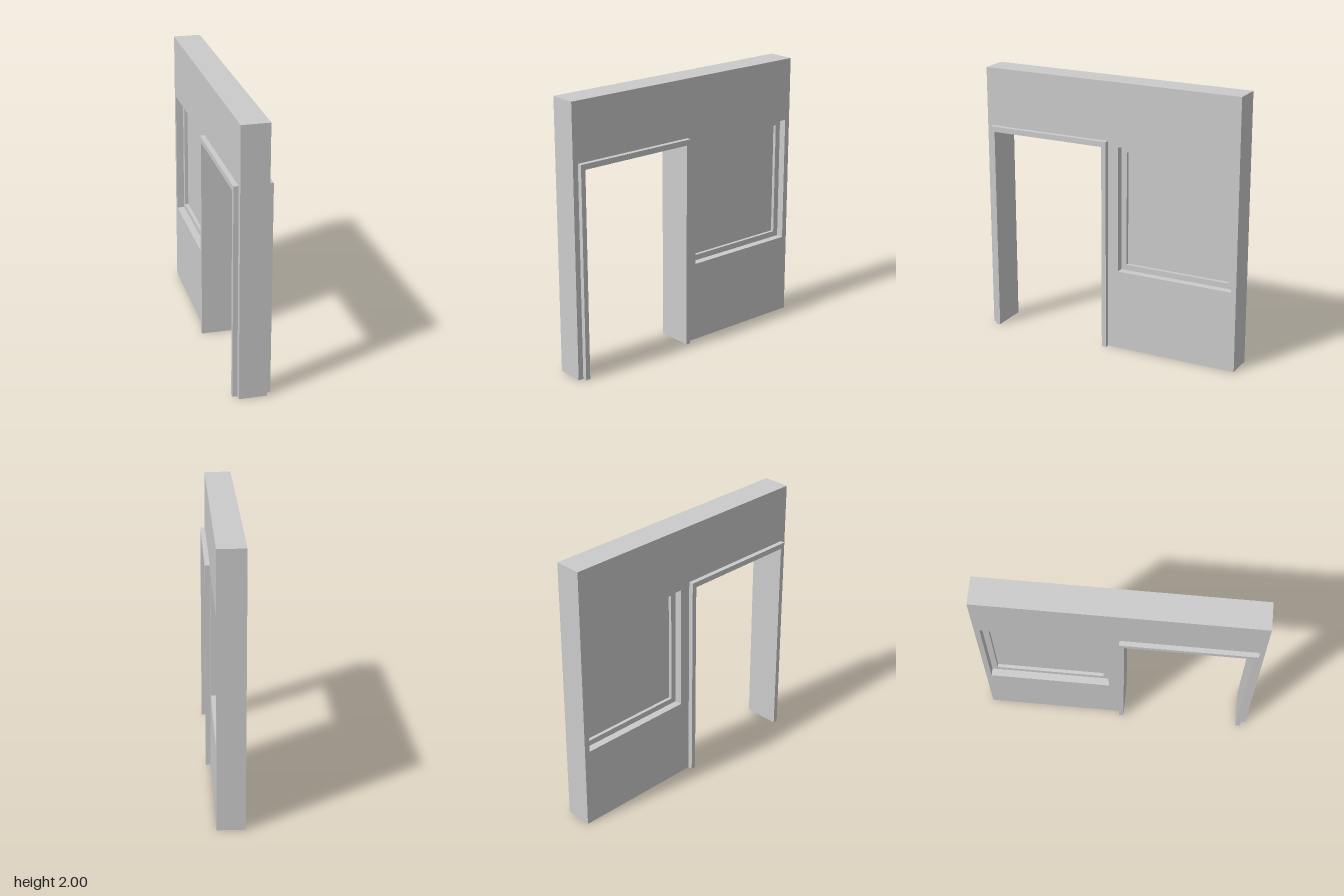
import * as THREE from 'three';

const material = new THREE.MeshStandardMaterial({ color: 0xcccccc, flatShading: true });

// Rectangle in the wall plane, as points (z, y)
const rect = (z0, z1, y0, y1) => [[z0, y0], [z1, y0], [z1, y1], [z0, y1]].map(p => new THREE.Vector2(...p));

// Extrudes an outline drawn in (z, y) across the wall, centred on x = 0
function slab(name, outline, thickness, hole) {
  const shape = new THREE.Shape(outline);
  if (hole) shape.holes.push(new THREE.Path(hole));
  const geometry = new THREE.ExtrudeGeometry(shape, { depth: thickness, bevelEnabled: false });
  geometry.translate(0, 0, -thickness / 2).rotateY(-Math.PI / 2);
  const mesh = new THREE.Mesh(geometry, material);
  mesh.name = name;
  return mesh;
}

// Upside-down U around a doorway, or a panel with a doorway notch
function notched(outer, inner) {
  const [z0, z1, top] = outer, [d0, d1, doorTop] = inner;
  return [[z0, 0], [d0, 0], [d0, doorTop], [d1, doorTop], [d1, 0], [z1, 0], [z1, top], [z0, top]]
    .map(p => new THREE.Vector2(...p));
}

export function createModel() {
  const group = new THREE.Group();
  group.name = 'wallWithDoorAndWindow';

  const frameOuter = [0.005, 0.96, 1.57];
  const frameInner = [0.04, 0.925, 1.53];
  const windowOuter = rect(-0.96, -0.075, 0.6, 1.535);
  const windowInner = rect(-0.917, -0.118, 0.642, 1.488);

  group.add(
    // Wall with a doorway notch and a window hole
    slab('wall', notched([-1, 1, 2], frameOuter), 0.2, windowOuter),
    // Door lining, standing proud of both wall faces
    slab('doorFrame', notched(frameOuter, frameInner), 0.27),
    // Recessed window frame and its pane
    slab('windowFrame', windowOuter, 0.09, windowInner),
    slab('windowPane', windowInner, 0.04),
  );
  return group;
}
